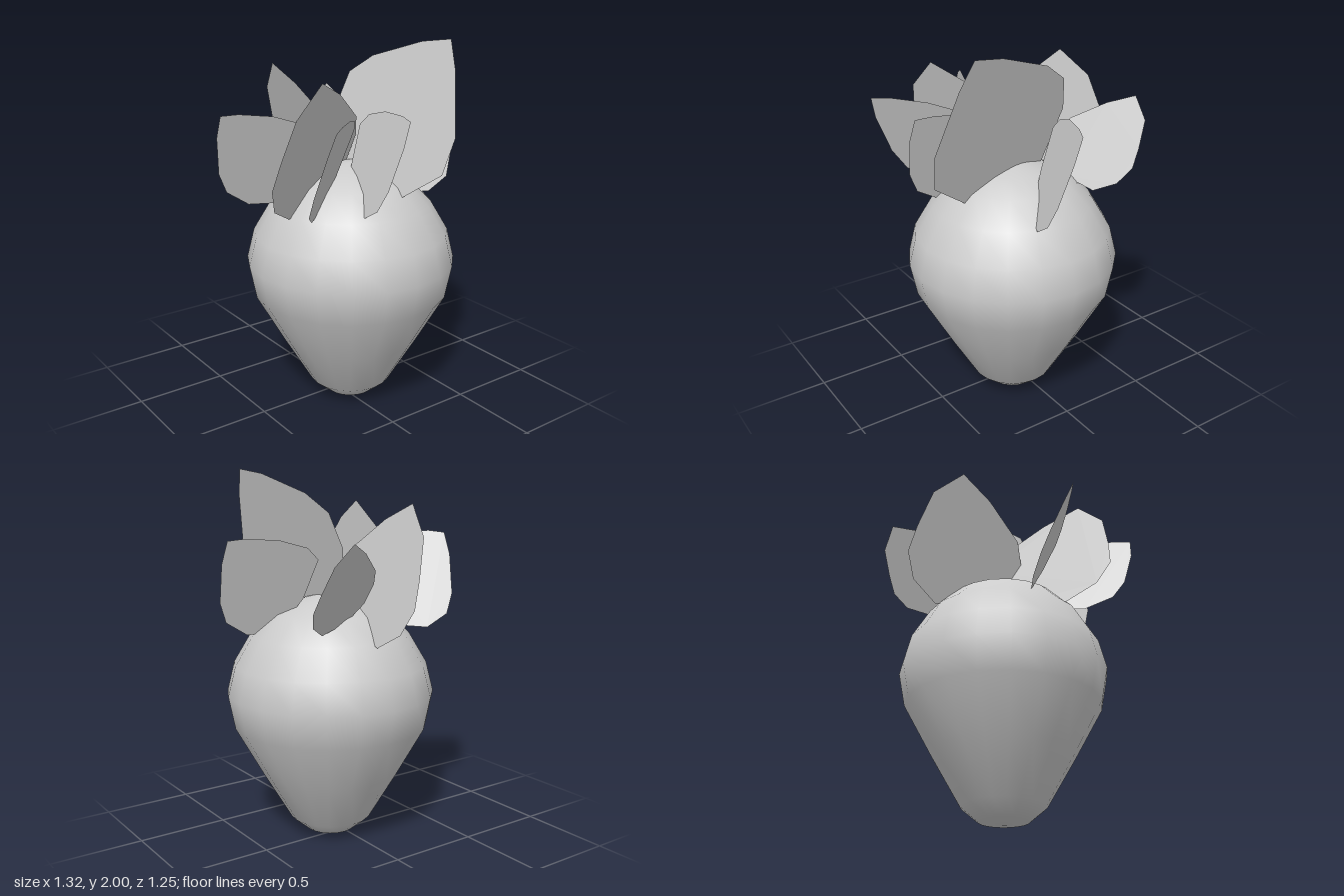
import * as THREE from 'three';

const material = new THREE.MeshStandardMaterial({ color: 0xcccccc });
const leafMaterial = new THREE.MeshStandardMaterial({ color: 0xcccccc, side: THREE.DoubleSide });

// Leaf outlines in a unit square: first value runs inner to outer, second runs up
const rounded = [[0, 0.78], [0.14, 0.9], [0.45, 0.98], [0.8, 1], [0.98, 0.98], [1, 0.75],
  [0.95, 0.35], [0.85, 0.14], [0.6, 0], [0.27, 0.02], [0.07, 0.38]];
const pointed = [[0.68, 1], [0.9, 0.78], [0.97, 0.5], [1, 0.3], [0.91, 0.12], [0.69, 0],
  [0.3, 0.08], [0.05, 0.28], [0, 0.5], [0.07, 0.66], [0.4, 0.88]];
const broad = [[0.8, 1], [0.59, 0.97], [0.22, 0.85], [0.05, 0.73], [0, 0.51], [0.1, 0.15],
  [0.24, 0], [0.7, 0], [0.97, 0.2], [1, 0.43], [0.88, 0.83]];

// A flat leaf: the outline fills u = inner..outer and y = low..high, sheared by lean,
// then lies on the plane w = a + b*u + c*y. Axis 'z': u is x, w is z. Axis 'x': u is z, w is x.
function makeLeaf(name, outline, axis, [inner, outer], [low, high], [a, b, c], lean = 0) {
  const shape = new THREE.Shape(outline.map(([p, q]) => new THREE.Vector2(
    THREE.MathUtils.lerp(inner, outer, p + lean * (q - 0.5)),
    THREE.MathUtils.lerp(low, high, q))));
  const geometry = new THREE.ShapeGeometry(shape);
  const pos = geometry.attributes.position;
  for (let i = 0; i < pos.count; i++) {
    const u = pos.getX(i), y = pos.getY(i), w = a + b * u + c * y;
    if (axis === 'z') pos.setXYZ(i, u, y, w);
    else pos.setXYZ(i, w, y, u);
  }
  geometry.computeVertexNormals();
  const leaf = new THREE.Mesh(geometry, leafMaterial);
  leaf.name = name;
  return leaf;
}

export function createModel() {
  const model = new THREE.Group();
  model.name = 'berry';

  // Rounded fruit tapering to a small blunt foot
  const profile = [[0, 0], [0.135, 0.02], [0.225, 0.095], [0.38, 0.36], [0.53, 0.63], [0.565, 0.81],
    [0.525, 0.97], [0.43, 1.13], [0.31, 1.25], [0.175, 1.31], [0.065, 1.34], [0, 1.345]];
  const fruit = new THREE.Mesh(
    new THREE.LatheGeometry(profile.map(([r, y]) => new THREE.Vector2(r, y)), 20), material);
  fruit.name = 'fruit';
  fruit.position.set(0.045, 0, 0.055);
  model.add(fruit);

  // Crown of flat leaves
  const crown = new THREE.Group();
  crown.name = 'leafCrown';
  crown.add(
    makeLeaf('tallFrontLeaf', broad, 'x', [-0.2, 0.625], [1.2, 2], [-0.284, 0.158, 0.283]),
    makeLeaf('leftLeaf', rounded, 'z', [0.21, 0.655], [1.14, 1.66], [0.44, 0.45, -0.4]),
    makeLeaf('backLeftLeaf', pointed, 'z', [0, 0.46], [1.19, 1.66], [0.539, -0.411, -0.572]),
    makeLeaf('backLeaf', pointed, 'x', [0.09, -0.62], [1.12, 1.83], [0.395, -0.055, -0.31]),
    makeLeaf('frontLeaf', rounded, 'x', [0.08, 0.595], [1.14, 1.66], [-0.454, -0.25, 0.362]),
    makeLeaf('frontRightLeaf', rounded, 'z', [-0.06, -0.5], [1.14, 1.66], [-0.589, -0.877, 0.483], -0.2),
    makeLeaf('largeRightLeaf', pointed, 'z', [0.11, -0.57], [1.12, 1.825], [-0.412, -0.439, 0.321], -0.1),
    makeLeaf('rightLeaf', rounded, 'z', [-0.25, -0.64], [1.14, 1.66], [-0.418, 0.747, 0.514], 0.15),
  );
  model.add(crown);

  return model;
}
